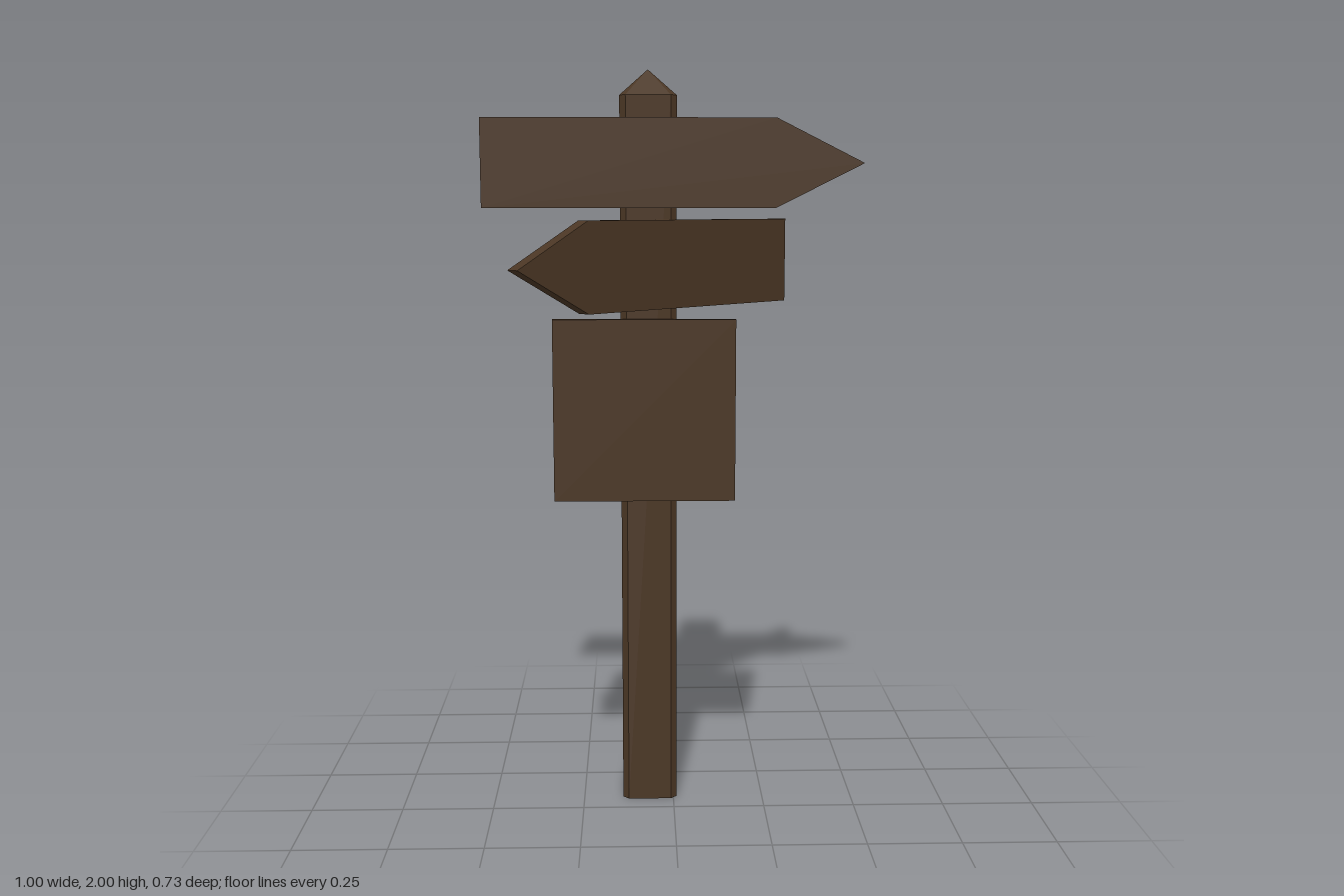
import * as THREE from 'three';

const HALF = 0.075, BEVEL = 0.016;

// Turns an eight-sided cylinder or cone of radius 1 into a square section with cut corners
function squareOff(geometry) {
  const p = geometry.attributes.position;
  const snap = (v) => Math.abs(v) < 0.01 ? 0 : Math.sign(v) * (Math.abs(v) > 0.6 ? HALF : HALF - BEVEL);
  for (let i = 0; i < p.count; i++) p.setXYZ(i, snap(p.getX(i)), p.getY(i), snap(p.getZ(i)));
  const flat = geometry.toNonIndexed();
  flat.computeVertexNormals();
  return flat;
}

// Board pointing along +x, centred on its own middle
function arrowBoard(length, height, thickness, tip) {
  const l = length / 2, h = height / 2;
  const shape = new THREE.Shape([
    [-l, -h], [l - tip, -h], [l, 0], [l - tip, h], [-l, h],
  ].map(([x, y]) => new THREE.Vector2(x, y)));
  const geometry = new THREE.ExtrudeGeometry(shape, { depth: thickness, bevelEnabled: false });
  return geometry.translate(0, 0, -thickness / 2);
}

export function createModel() {
  const group = new THREE.Group();
  const wood = new THREE.MeshStandardMaterial({ color: 0x4a3624 });
  wood.name = 'darkWood';

  const add = (name, geometry, x, y, z) => {
    const mesh = new THREE.Mesh(geometry, wood);
    mesh.name = name;
    mesh.position.set(x, y, z);
    group.add(mesh);
    return mesh;
  };

  // Post with a pointed top
  const start = Math.PI / 8;
  const post = squareOff(new THREE.CylinderGeometry(1, 1, 1.93, 8, 1, false, start));
  const cap = squareOff(new THREE.ConeGeometry(1, 0.07, 8, 1, true, start));
  add('post', post, -0.066, 0.965, -0.133);
  add('postCap', cap, -0.066, 1.965, -0.133);

  // Upper arrow points to the model's left, lower one diagonally forward
  add('upperArrow', arrowBoard(0.995, 0.23, 0.048, 0.23), -0.002, 1.755, -0.036);
  const lower = add('lowerArrow', arrowBoard(0.993, 0.23, 0.036, 0.23), -0.04, 1.495, -0.002);
  lower.rotation.y = -Math.PI * 3 / 4;

  // Square notice board on the front of the post
  add('noticeBoard', new THREE.BoxGeometry(0.488, 0.49, 0.022), -0.078, 1.104, -0.048);

  return group;
}
